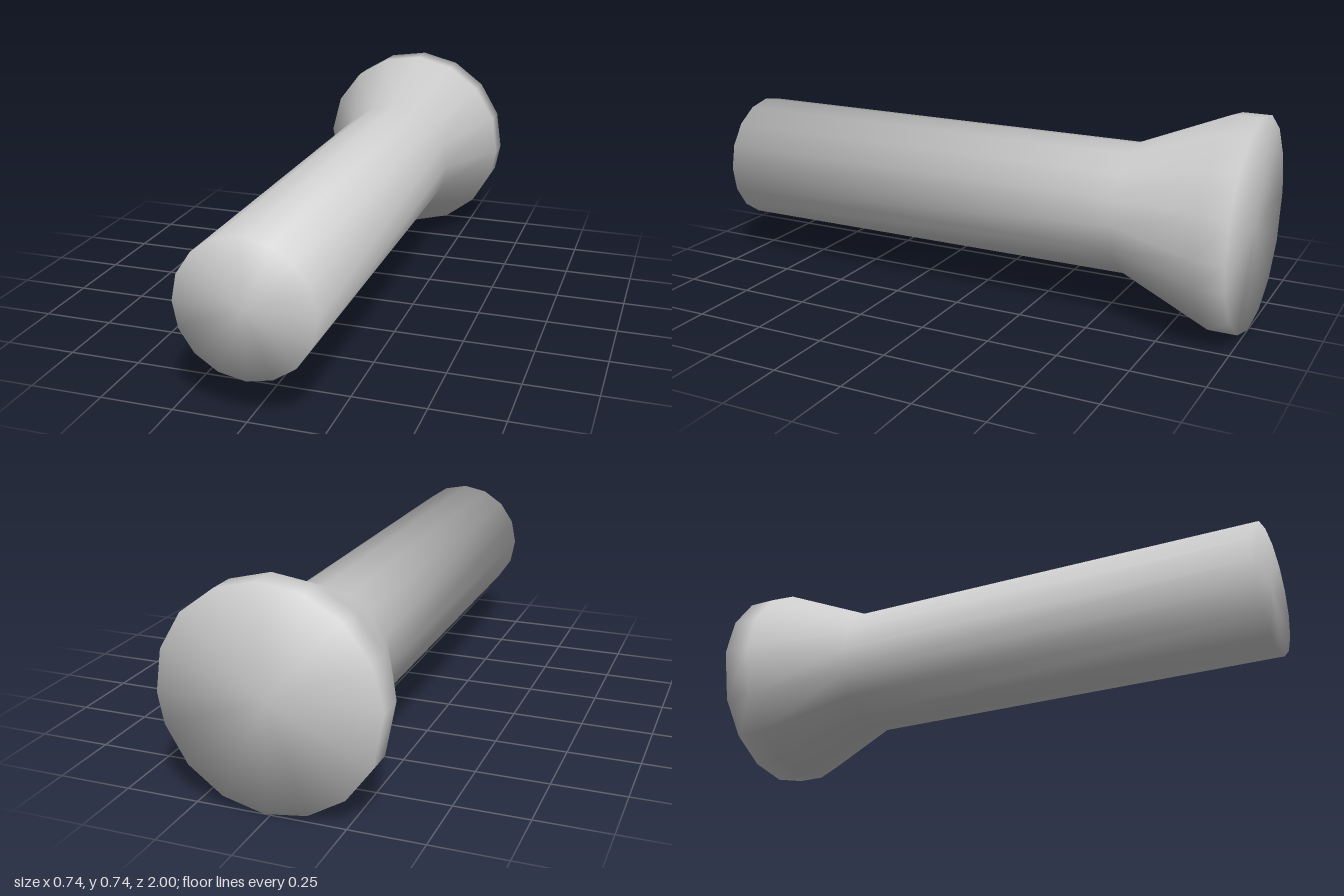
import * as THREE from 'three';

const SIDES = 16, CENTRE_Y = 0.371;
const rad = THREE.MathUtils.degToRad;

// Rings from front to back: z, radius, twist in degrees, tilt of the normal towards +z
const frontTip = { z: 1, r: 0, twist: 0, tilt: 90 };
const frontEdge = { z: 1, r: 0.232, twist: 0, tilt: 45 };
const neck = { z: -0.57, r: 0.232, twist: 0, tilt: 11.4 };
const rimFront = { z: -0.9, r: 0.371, twist: 3.1, tilt: 11.4 };
const rimBack = { z: -1, r: 0.371, twist: 3.1, tilt: -45 };
const backTip = { z: -1, r: 0, twist: 3.1, tilt: -90 };

// Skin a run of rings with soft normals shared across the edges
function skin(name, rings, material) {
  const positions = [], normals = [], index = [];
  for (const { z, r, twist, tilt } of rings) {
    for (let k = 0; k <= SIDES; k++) {
      // the flared rim twists the other way on its lower half
      const lower = k > 4 && k < 12;
      const a = rad(k * 360 / SIDES + (lower ? -twist : twist));
      const c = Math.cos(rad(tilt));
      positions.push(r * Math.sin(a), CENTRE_Y + r * Math.cos(a), z);
      normals.push(c * Math.sin(a), c * Math.cos(a), Math.sin(rad(tilt)));
    }
  }
  const row = SIDES + 1;
  for (let i = 0; i < rings.length - 1; i++) {
    for (let k = 0; k < SIDES; k++) {
      const a = i * row + k, b = a + 1, c = a + row, d = c + 1;
      if (rings[i].r > 0) index.push(a, b, c);
      if (rings[i + 1].r > 0) index.push(b, d, c);
    }
  }
  const geometry = new THREE.BufferGeometry();
  geometry.setAttribute('position', new THREE.Float32BufferAttribute(positions, 3));
  geometry.setAttribute('normal', new THREE.Float32BufferAttribute(normals, 3));
  geometry.setIndex(index);
  const mesh = new THREE.Mesh(geometry, material);
  mesh.name = name;
  return mesh;
}

export function createModel() {
  const grey = new THREE.MeshStandardMaterial({ color: 0xcccccc });
  grey.name = 'light grey';

  const model = new THREE.Group();
  model.name = 'flaredPin';
  model.add(
    skin('shaft', [frontTip, frontEdge, neck], grey),
    skin('flare', [neck, rimFront], grey),
    skin('headRim', [rimFront, rimBack, backTip], grey),
  );
  return model;
}
